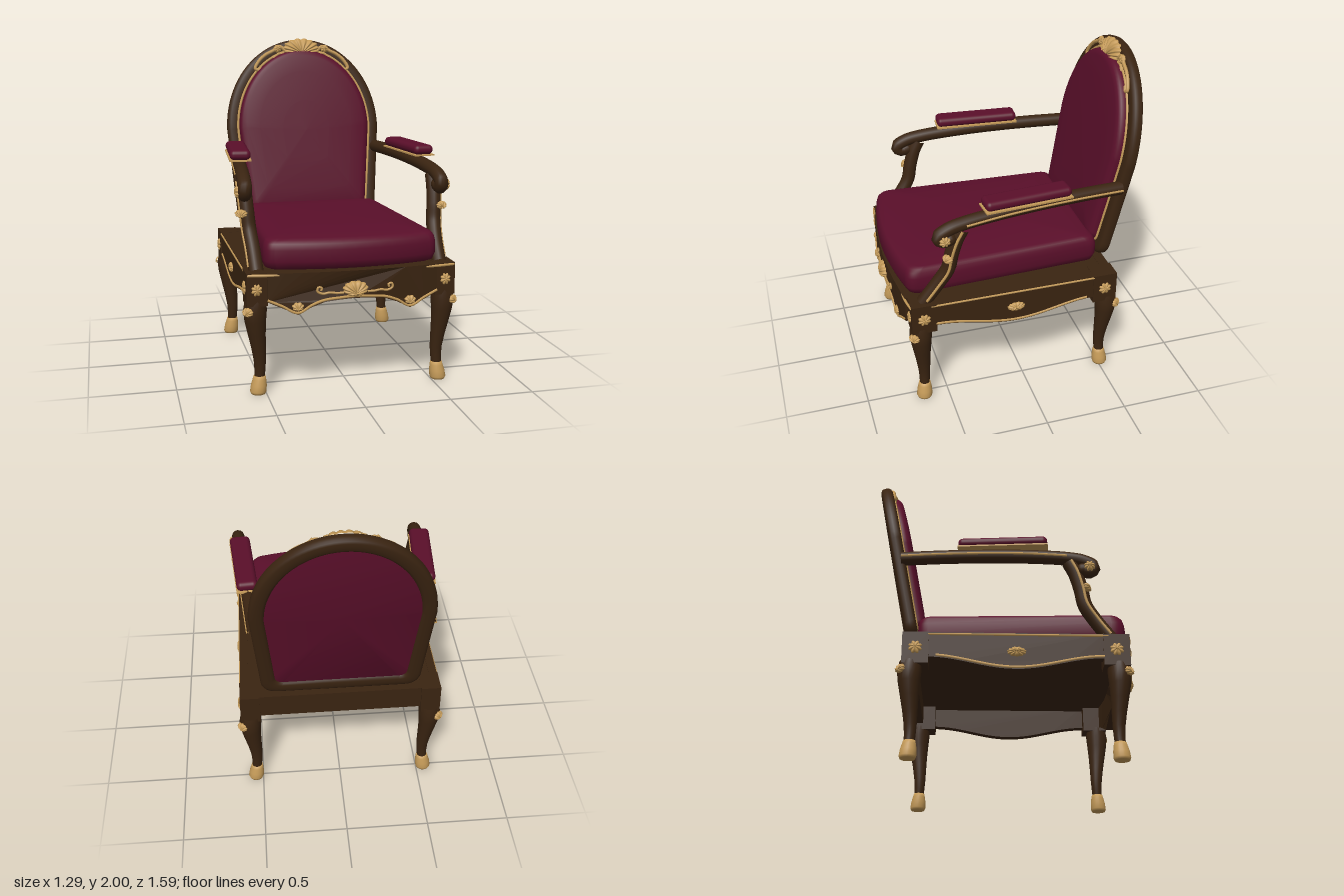
import * as THREE from 'three';
import { RoundedBoxGeometry } from 'three/addons/geometries/RoundedBoxGeometry.js';

const V = (x, y, z) => new THREE.Vector3(x, y, z);

// Skins a stack of closed loops (arrays of Vector3); wrap joins last loop to first
function loft(loops, wrap = false) {
  const n = loops[0].length, m = loops.length, index = [];
  for (let i = 0; i < (wrap ? m : m - 1); i++) {
    for (let j = 0; j < n; j++) {
      const k = (j + 1) % n, u = ((i + 1) % m) * n;
      const a = i * n + j, b = i * n + k, c = u + k, d = u + j;
      index.push(a, b, c, a, c, d);
    }
  }
  const g = new THREE.BufferGeometry().setFromPoints(loops.flat());
  g.setIndex(index);
  g.computeVertexNormals();
  return g;
}

function tube(points, r, sides = 8, segments = 40, closed = false) {
  return new THREE.TubeGeometry(new THREE.CatmullRomCurve3(points, closed), segments, r, sides, closed);
}

// Ribbed scallop facing +z; slide moves the ray centre towards the bottom
function shell(rx, ry, depth, lobes, cut = 0.13, slide = 0) {
  const rings = [[1, -0.2], [1, 0.2], [0.85, 0.65], [0.5, 0.95], [0.001, 1]];
  return loft(rings.map(([s, h]) => Array.from({ length: lobes * 6 }, (_, j) => {
    const t = j / (lobes * 6) * Math.PI * 2;
    const rib = Math.abs(Math.sin(t * lobes / 2 + Math.PI / 4 * (lobes % 2)));
    const r = s * (1 - cut + cut * rib);
    return V(rx * r * Math.cos(t), ry * (r * Math.sin(t) - slide * (1 - s)), depth * h * (0.75 + 0.25 * rib));
  })));
}

// Arched outline of the back, inset by d, at depth z
function arch(d, z, scale = 1) {
  const s = new THREE.Shape(), w = 0.48 - d, c = Math.max(0.1 - d * 0.6, 0.03), a = 0.53 - d;
  s.moveTo(-w + c, d);
  s.lineTo(w - c, d);
  s.quadraticCurveTo(w, d, w + 0.005, d + c);
  s.lineTo(a, 0.645);
  s.absellipse(0, 0.645, a, 0.61 - d, 0, Math.PI, false, 0);
  s.lineTo(-w - 0.005, d + c);
  s.quadraticCurveTo(-w, d, -w + c, d);
  const pts = s.getPoints(24);
  pts.pop();
  return pts.map(p => V(p.x * scale, 0.62 + (p.y - 0.62) * scale, z));
}

export function createModel() {
  const wood = new THREE.MeshStandardMaterial({ color: 0x3a2411 });
  const fabric = new THREE.MeshStandardMaterial({ color: 0x5a0f2a });
  const gold = new THREE.MeshStandardMaterial({ color: 0xc49a58 });
  wood.name = 'dark wood'; fabric.name = 'crimson fabric'; gold.name = 'gilding';

  const root = new THREE.Group();
  root.name = 'armchair';
  const add = (name, geo, mat, parent = root, pos = [0, 0, 0], ry = 0) => {
    const m = new THREE.Mesh(geo, mat);
    m.name = name;
    m.position.set(...pos);
    m.rotation.y = ry;
    parent.add(m);
    return m;
  };
  const box = (name, w, h, d, x, y, z) => add(name, new THREE.BoxGeometry(w, h, d), wood, root, [x, y, z]);

  // Reclined back: rounded frame, stuffed panel, gilt line and crest
  const back = new THREE.Group();
  back.name = 'back';
  back.position.set(0, 0.76, -0.52);
  back.rotation.x = -0.192;
  root.add(back);
  const rnd = v => Math.sign(v) * Math.pow(Math.abs(v), 0.7);
  add('backFrame', loft(Array.from({ length: 16 }, (_, i) => {
    const t = i / 16 * Math.PI * 2;
    return arch(0.046 - 0.046 * rnd(Math.cos(t)), 0.038 * rnd(Math.sin(t)));
  }), true), wood, back);
  add('backPad', loft([
    arch(0.08, -0.022, 0.001), arch(0.08, -0.022), arch(0.08, 0.05), arch(0.086, 0.07), arch(0.1, 0.084),
    arch(0.125, 0.092), arch(0.13, 0.1, 0.8), arch(0.13, 0.104, 0.4), arch(0.13, 0.105, 0.001),
  ]), fabric, back);
  add('backTrim', tube(arch(0.072, 0.038), 0.009, 6, 160, true), gold, back);
  add('crestShell', shell(0.13, 0.072, 0.045, 15, 0.13, 0.5), gold, back, [0, 1.185, 0.036]);

  // Seat cushion
  const s = new THREE.Shape();
  s.moveTo(-0.51, -0.64);
  s.quadraticCurveTo(-0.51, -0.71, -0.45, -0.72);
  s.quadraticCurveTo(0, -0.83, 0.45, -0.72);
  s.quadraticCurveTo(0.51, -0.71, 0.51, -0.64);
  s.lineTo(0.465, 0.43);
  s.quadraticCurveTo(0.46, 0.49, 0.41, 0.49);
  s.lineTo(-0.41, 0.49);
  s.quadraticCurveTo(-0.46, 0.49, -0.465, 0.43);
  s.lineTo(-0.51, -0.64);
  const outline = s.getPoints(12);
  outline.pop();
  const profile = [[0.001, 0.732], [0.93, 0.732], [0.975, 0.745], [1, 0.785], [1, 0.85], [0.985, 0.885],
    [0.96, 0.903], [0.92, 0.912], [0.7, 0.925], [0.4, 0.933], [0.001, 0.935]];
  add('seatCushion', loft(profile.map(([k, y]) =>
    outline.map(p => V(p.x * k, y, 0.14 + (-p.y - 0.14) * k)))), fabric);

  // Bowed, scalloped front apron
  const bow = x => 0.772 - 0.15 * x * x;
  const half = [[0.5, 0.56], [0.42, 0.525], [0.33, 0.482], [0.25, 0.525], [0.18, 0.55], [0.09, 0.56], [0, 0.565]];
  const lower = [...half.map(([x, y]) => [-x, y]), ...half.slice(0, -1).reverse()];
  const apron = new THREE.Shape();
  lower.forEach(([x, y], i) => (i ? apron.lineTo(x, y) : apron.moveTo(x, y)));
  for (let x = 0.5; x > -0.51; x -= 0.1) apron.lineTo(x, 0.725);
  const apronGeo = new THREE.ExtrudeGeometry(apron, { depth: 0.06, bevelEnabled: false });
  const p = apronGeo.attributes.position;
  for (let i = 0; i < p.count; i++) p.setZ(i, p.getZ(i) - 0.06 + bow(p.getX(i)));
  apronGeo.computeVertexNormals();
  add('frontApron', apronGeo, wood);
  add('apronLowerTrim', tube(lower.map(([x, y]) => V(x, y + 0.012, bow(x))), 0.008, 6, 80), gold);
  add('apronTopTrim', tube([-0.61, -0.5, -0.25, 0, 0.25, 0.5, 0.61]
    .map(x => V(x, 0.714, Math.min(bow(x), bow(0.5)))), 0.008, 6), gold);
  add('apronShell', shell(0.075, 0.045, 0.032, 11, 0.13, 0.5), gold, root, [0, 0.62, bow(0)]);

  // Back rail and seat deck
  box('backRail', 1.06, 0.15, 0.06, 0, 0.65, -0.525);
  box('seatDeck', 1.16, 0.03, 1.23, 0, 0.708, 0.08);

  // Everything below is built once for each side
  for (const k of [1, -1]) {
    const side = new THREE.Group();
    side.name = k > 0 ? 'leftSide' : 'rightSide';
    root.add(side);
    const pts = a => a.map(([x, y, z]) => V(k * x, y, z));
    const block = (name, x, y, z, w, h, d) => add(name, new THREE.BoxGeometry(w, h, d), wood, side, [k * x, y, z]);

    // Crest and apron scrollwork
    add('crestScroll', tube([[0.11, 1.17], [0.15, 1.2], [0.2, 1.17], [0.25, 1.145], [0.3, 1.1], [0.325, 1.05],
      [0.3, 1.04], [0.285, 1.065]].map(([x, y]) => V(k * x, y, 0.042)), 0.012, 6), gold, back);
    add('crestLeaf', tube([[0.12, 1.15], [0.16, 1.15], [0.19, 1.12], [0.17, 1.105], [0.155, 1.12]]
      .map(([x, y]) => V(k * x, y, 0.042)), 0.01, 6), gold, back);
    add('crestBud', shell(0.028, 0.028, 0.02, 7), gold, back, [k * 0.165, 1.185, 0.038]);
    add('apronScroll', tube([[0.07, 0.6], [0.11, 0.6], [0.15, 0.605], [0.19, 0.6], [0.22, 0.615], [0.215, 0.638],
      [0.195, 0.632], [0.2, 0.618]].map(([x, y]) => V(k * x, y, bow(x) + 0.002)), 0.007, 6), gold, side);
    add('apronLeaf', shell(0.035, 0.026, 0.018, 7, 0.2, 0.5), gold, side, [k * 0.33, 0.53, bow(0.33)]);

    // Side rail with curved lower edge
    const edge = z => 0.575 - 0.07 * (0.5 + 0.5 * Math.cos(Math.PI * (z - 0.075) / 0.5));
    const zs = Array.from({ length: 21 }, (_, i) => 0.575 - i * 0.05);
    const rail = new THREE.Shape();
    rail.moveTo(-0.575, 0.725);
    zs.forEach(z => rail.lineTo(-z, edge(z)));
    rail.lineTo(0.425, 0.725);
    const railGeo = new THREE.ExtrudeGeometry(rail, { depth: 0.05, bevelEnabled: false });
    railGeo.rotateY(Math.PI / 2).translate(k > 0 ? 0.56 : -0.61, 0, 0);
    add('sideRail', railGeo, wood, side);
    add('sideLowerTrim', tube(zs.slice(0, 20).map(z => V(k * 0.61, edge(z) + 0.012, z)), 0.008, 6), gold, side);
    add('sideTopTrim', tube(pts([[0.61, 0.714, 0.6], [0.61, 0.714, 0], [0.61, 0.714, -0.42]]), 0.007, 6), gold, side);
    add('sideShell', shell(0.055, 0.03, 0.02, 11), gold, side, [k * 0.61, 0.61, 0.08], k * Math.PI / 2);

    // Corner blocks, cabriole legs and gilt feet
    for (const [f, name, z0, zb] of [[1, 'front', 0.645, 0.645], [-1, 'back', -0.505, -0.49]]) {
      block(name + 'CornerBlock', 0.555, 0.63, zb, 0.12, 0.19, 0.15);
      const loops = rows => rows.map(([y, o, r]) => Array.from({ length: 20 }, (_, j) => {
        const t = j / 20 * Math.PI * 2;
        return V(k * (0.533 + o) + r * Math.cos(t), y, z0 + f * o * 0.6 - r * Math.sin(t));
      }));
      add(name + 'Leg', loft(loops([[0.09, 0.004, 0.03], [0.14, 0, 0.032], [0.2, 0, 0.036], [0.28, 0.008, 0.043],
        [0.36, 0.018, 0.052], [0.44, 0.026, 0.062], [0.5, 0.027, 0.068], [0.56, 0.022, 0.062]])), wood, side);
      add(name + 'Foot', loft(loops([[0, 0.012, 0.001], [0, 0.012, 0.042], [0.015, 0.012, 0.048], [0.05, 0.008, 0.046],
        [0.085, 0.004, 0.039], [0.105, 0.003, 0.034], [0.108, 0.003, 0.001]])), gold, side);
      const turn = k * (f > 0 ? 1 : 3) * Math.PI / 4;
      add(name + 'KneeShell', shell(0.036, 0.026, 0.02, 9, 0.15, 0.5), gold, side,
        [k * 0.608, 0.502, z0 + f * 0.064], turn);
      add(name + 'SideRosette', shell(0.04, 0.04, 0.014, 8, 0.28), gold, side, [k * 0.615, 0.63, zb], k * Math.PI / 2);
    }
    add('frontRosette', shell(0.032, 0.036, 0.014, 8, 0.28), gold, side, [k * 0.557, 0.63, 0.72]);

    // Arm rail ending in a scroll, with gilt side line
    const arm = [[0.5, 1.258, -0.6], [0.52, 1.262, -0.35], [0.54, 1.26, -0.1], [0.56, 1.25, 0.15], [0.578, 1.23, 0.38]];
    add('armRail', tube(pts([...arm, [0.585, 1.208, 0.48], [0.588, 1.17, 0.538], [0.588, 1.14, 0.52],
      [0.588, 1.145, 0.48]]), 0.041, 14, 70), wood, side);
    add('armScrollEnd', new THREE.SphereGeometry(0.042, 16, 10), wood, side, [k * 0.588, 1.148, 0.475]);
    add('armTrim', tube(pts(arm.map(([x, y, z]) => [x + 0.039, y, z])), 0.008, 6), gold, side);
    add('armRosette', shell(0.034, 0.034, 0.02, 8, 0.28), gold, side, [k * 0.626, 1.155, 0.51], k * Math.PI / 2);

    // Curved arm support with gilt line and leaf
    const post = [[0.578, 1.2, 0.395], [0.575, 1.13, 0.43], [0.568, 1.03, 0.46], [0.56, 0.93, 0.482],
      [0.55, 0.83, 0.545], [0.545, 0.71, 0.635]];
    add('armSupport', tube(pts(post), 0.043, 14, 40), wood, side);
    add('supportTrim', tube(pts(post.slice(0, 5).concat([[0.546, 0.74, 0.612]])
      .map(([x, y, z]) => [x + 0.04, y, z + 0.008])), 0.009, 6), gold, side);
    add('supportLeaf', shell(0.038, 0.024, 0.025, 9, 0.15, 0.5), gold, side, [k * 0.605, 1.025, 0.49], k * 0.4);

    // Arm pad with gilt edging
    add('armPadTrim', new THREE.BoxGeometry(0.13, 0.009, 0.535), gold, side, [k * 0.551, 1.298, 0.005], k * 0.08);
    add('armPad', new RoundedBoxGeometry(0.125, 0.06, 0.53, 4, 0.028), fabric, side, [k * 0.551, 1.33, 0.005], k * 0.08);
  }
  return root;
}
